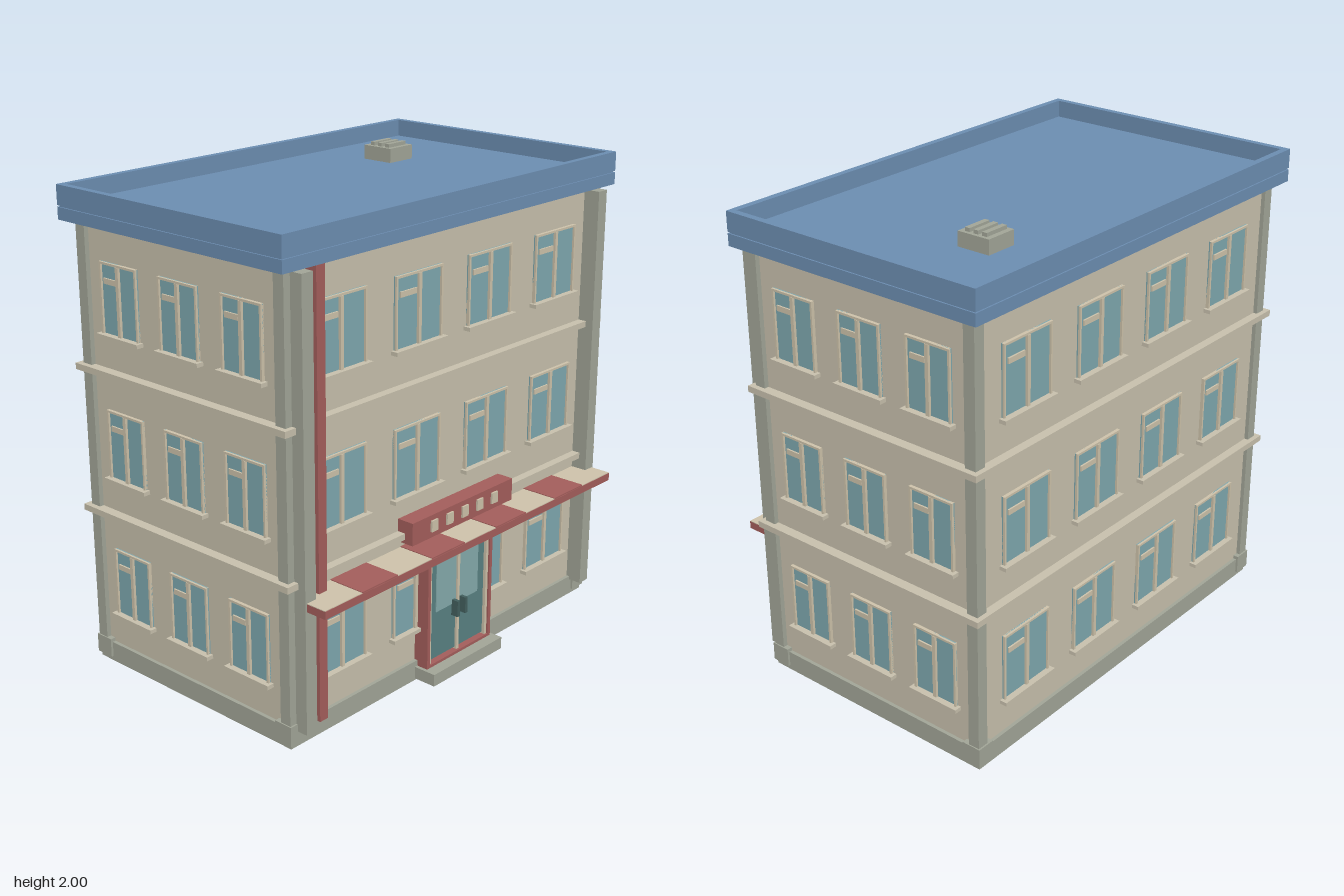
import * as THREE from 'three';

const mat = (name, color, side = THREE.FrontSide) => {
  const m = new THREE.MeshStandardMaterial({ color, side });
  m.name = name;
  return m;
};

export function createModel() {
  const wall = mat('wallCream', 0xc9c2ae);
  const trim = mat('frameCream', 0xcfc4ac);
  const stone = mat('stoneGrey', 0xa3a799);
  const blue = mat('roofBlue', 0x6d8fb3);
  const red = mat('trimRed', 0xa55f5c);
  const glass = mat('windowGlass', 0x7fa9b0);
  const doorGlass = mat('doorGlass', 0x5a8283);
  const doorPane = mat('doorPane', 0x86acad);
  const dark = mat('handleDark', 0x43605f);

  const model = new THREE.Group();
  model.name = 'building';

  // Box given by its lower and upper limits on each axis
  const box = (parent, name, m, x0, x1, y0, y1, z0, z1) => {
    const mesh = new THREE.Mesh(new THREE.BoxGeometry(x1 - x0, y1 - y0, z1 - z0), m);
    mesh.position.set((x0 + x1) / 2, (y0 + y1) / 2, (z0 + z1) / 2);
    mesh.name = name;
    parent.add(mesh);
    return mesh;
  };
  const W = 0.92, ZF = 0.488, ZB = -0.592, ZC = -0.052;

  // Walls and plinth
  box(model, 'walls', wall, -W, W, 0.05, 1.87, ZB, ZF);
  box(model, 'plinth', stone, -0.935, 0.935, 0, 0.085, -0.607, 0.503);

  // Corner posts, their foot blocks and front pilasters
  for (const s of [-1, 1]) {
    const span = (a, b) => (s > 0 ? [a, b] : [-b, -a]);
    for (const [z0, z1, f0, f1] of [[0.455, 0.505, 0.428, 0.512], [-0.609, -0.559, -0.616, -0.532]]) {
      box(model, 'cornerPost', stone, ...span(0.89, 0.94), 0.02, 1.86, z0, z1);
      box(model, 'cornerFoot', stone, ...span(0.865, 0.945), 0.02, 0.1, f0, f1);
    }
    box(model, 'frontPilaster', stone, ...span(0.852, 0.908), 0.07, 1.85, 0.48, 0.56);
  }

  // Ledges between the floors
  for (const y of [0.675, 1.275])
    box(model, 'floorLedge', wall, -0.963, 0.963, y - 0.013, y + 0.013, -0.63, 0.525);

  // Window facing +z, standing on its sill at the origin
  const makeWindow = (w) => {
    const g = new THREE.Group();
    const h = 0.285, a = w / 2, t = 0.009;
    g.name = 'window';
    box(g, 'pane', glass, -a, a, 0, h, -0.01, 0.005);
    box(g, 'frameLeft', trim, -a, -a + t, 0, h, 0, 0.014);
    box(g, 'frameRight', trim, a - t, a, 0, h, 0, 0.014);
    box(g, 'frameTop', trim, -a + t, a - t, h - t, h, 0, 0.014);
    box(g, 'mullion', trim, -0.008, 0.008, 0, h - t, 0, 0.016);
    box(g, 'ventBar', trim, -a * 0.8, -a * 0.12, 0.2, 0.222, 0, 0.012);
    box(g, 'sill', wall, -a - 0.014, a + 0.014, -0.015, 0.001, -0.01, 0.032);
    return g;
  };
  const frontWindow = makeWindow(0.27), sideWindow = makeWindow(0.21);
  const addWindow = (source, x, y, z, turn) => {
    const w = source.clone();
    w.position.set(x, y, z);
    w.rotation.y = turn;
    model.add(w);
  };
  for (const y of [0.235, 0.832, 1.432]) {
    for (const x of [-0.645, -0.215, 0.215, 0.645]) {
      addWindow(frontWindow, x, y, ZF, 0);
      addWindow(frontWindow, x, y, ZB, Math.PI);
    }
    for (const z of [-0.333, 0, 0.333]) {
      addWindow(sideWindow, W, y, ZC + z, Math.PI / 2);
      addWindow(sideWindow, -W, y, ZC + z, -Math.PI / 2);
    }
  }

  // Red downpipe
  box(model, 'downpipe', red, -0.815, -0.772, 0.08, 1.865, 0.48, 0.54);

  // Roof: lower cornice, deck and parapet
  const X = 0.985, R0 = -0.655, R1 = 0.545;
  box(model, 'cornice', blue, -X, X, 1.86, 1.91, R0, R1);
  box(model, 'roofDeck', blue, -X + 0.006, X - 0.006, 1.905, 1.925, R0 + 0.006, R1 - 0.006);
  const rim = new THREE.Shape();
  rim.moveTo(-X, -R1).lineTo(X, -R1).lineTo(X, -R0).lineTo(-X, -R0).closePath();
  const hole = new THREE.Path(), q = 0.028;
  hole.moveTo(-X + q, -R1 + q).lineTo(-X + q, -R0 - q).lineTo(X - q, -R0 - q).lineTo(X - q, -R1 + q).closePath();
  rim.holes.push(hole);
  const parapet = new THREE.Mesh(new THREE.ExtrudeGeometry(rim, { depth: 0.081, bevelEnabled: false }), blue);
  parapet.rotation.x = -Math.PI / 2;
  parapet.position.y = 1.916;
  parapet.name = 'parapet';
  model.add(parapet);

  // Roof vent with slats
  box(model, 'roofVent', stone, 0.443, 0.583, 1.92, 1.985, -0.373, -0.227);
  for (const z of [-0.34, -0.3, -0.26])
    box(model, 'ventSlat', stone, 0.458, 0.568, 1.98, 2.0, z - 0.011, z + 0.011);

  // Awning with striped top
  box(model, 'awning', red, -0.9, 0.9, 0.58, 0.612, 0.48, 0.652);
  for (let i = 0; i < 9; i++) {
    const x = -0.9 + i * 0.2;
    box(model, 'awningStripe', i % 2 ? red : trim, x, x + 0.2, 0.611, i % 2 ? 0.618 : 0.615, 0.485, 0.65);
  }

  // Sign board with blank square plates
  box(model, 'signBoard', red, -0.315, 0.315, 0.645, 0.74, 0.48, 0.563);
  for (let i = -2; i <= 2; i++)
    box(model, 'signPlate', trim, i * 0.095 - 0.019, i * 0.095 + 0.019, 0.672, 0.719, 0.565, 0.573);

  // Entrance: step, nested frames, two glazed leaves with handles
  box(model, 'doorStep', stone, -0.22, 0.22, 0.008, 0.06, 0.48, 0.605);
  box(model, 'doorBacking', red, -0.2, 0.2, 0.06, 0.555, 0.48, 0.522);
  for (const s of [-1, 1]) {
    const span = (a, b) => (s > 0 ? [a, b] : [-b, -a]);
    box(model, 'doorJamb', red, ...span(0.188, 0.205), 0.06, 0.56, 0.48, 0.555);
    box(model, 'doorFrameSide', trim, ...span(0.174, 0.188), 0.072, 0.546, 0.5, 0.548);
    box(model, 'doorLeaf', doorGlass, ...span(0.006, 0.174), 0.08, 0.54, 0.5, 0.535);
    box(model, 'doorPane', doorPane, ...span(0.008, 0.133), 0.285, 0.495, 0.534, 0.538);
    box(model, 'doorHandle', dark, ...span(0.017, 0.032), 0.235, 0.305, 0.535, 0.568);
  }
  box(model, 'doorLintel', red, -0.188, 0.188, 0.546, 0.56, 0.48, 0.555);
  box(model, 'doorSill', red, -0.188, 0.188, 0.06, 0.072, 0.48, 0.555);
  box(model, 'doorFrameTop', trim, -0.174, 0.174, 0.536, 0.546, 0.5, 0.548);
  box(model, 'doorMullion', trim, -0.007, 0.007, 0.072, 0.54, 0.5, 0.545);

  return model;
}
